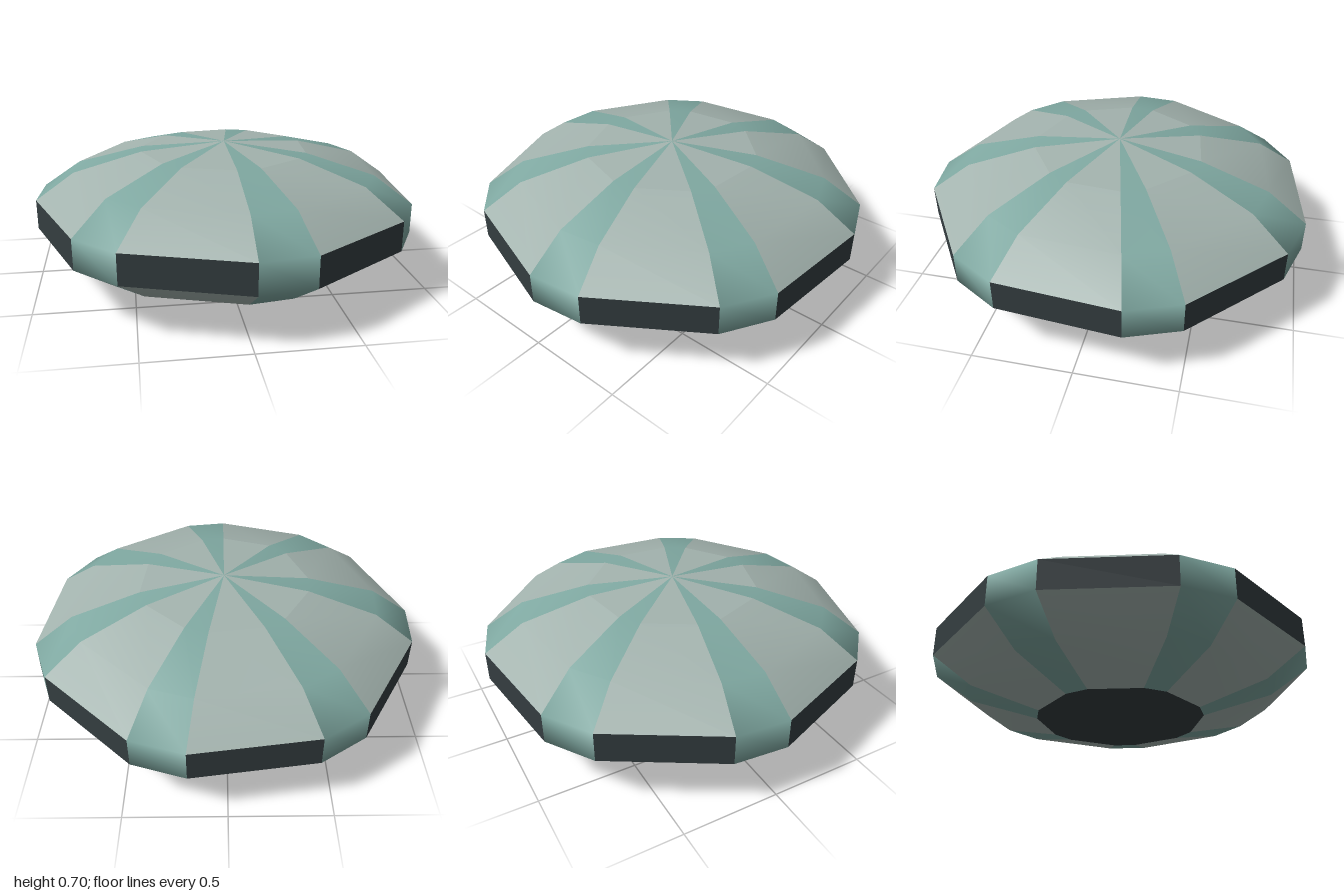
import * as THREE from 'three';

const SIDES = 7;
const STEP = (Math.PI * 2) / SIDES;
const STRIP = THREE.MathUtils.degToRad(15.8); // angular width of a narrow strip
const MID = 0.352;                            // height of the middle of the rim

// Half profile as [radius, height above the rim's middle], from the centre out
const UPPER = [[0, 0.352], [0.447, 0.315], [0.805, 0.219], [1.0075, 0.078]];
const LOWER = UPPER.map(([r, h]) => [r, -h]).reverse();

// One faceted slice of the disc between two angles, smooth along its profile
function slice(profile, from, to) {
  const positions = [];
  const index = [];
  for (const [r, h] of profile) {
    for (const a of [from, to]) positions.push(r * Math.sin(a), h, r * Math.cos(a));
  }
  for (let i = 0; i < profile.length - 1; i++) {
    const a = i * 2, b = a + 1, c = a + 2, d = a + 3;
    if (profile[i + 1][0] > 0) index.push(a, c, d);
    if (profile[i][0] > 0) index.push(a, d, b);
    if (profile[i + 1][0] === 0) continue;
  }
  const geometry = new THREE.BufferGeometry();
  geometry.setAttribute('position', new THREE.Float32BufferAttribute(positions, 3));
  geometry.setIndex(index);
  geometry.computeVertexNormals();
  return geometry;
}

export function createModel() {
  const panelMaterial = new THREE.MeshStandardMaterial({ color: 0xa3b3ae });
  const stripMaterial = new THREE.MeshStandardMaterial({ color: 0x7fa8a1 });
  const darkMaterial = new THREE.MeshStandardMaterial({ color: 0x343d40 });

  const model = new THREE.Group();
  model.name = 'segmentedDisc';

  const add = (parent, name, profile, from, to, material) => {
    const mesh = new THREE.Mesh(slice(profile, from, to), material);
    mesh.name = name;
    parent.add(mesh);
  };

  for (let i = 0; i < SIDES; i++) {
    const start = i * STEP;
    const edge = start + STRIP;
    const end = start + STEP;
    const segment = new THREE.Group();
    segment.name = `segment${i + 1}`;

    // Narrow strip running from the top centre over the rim to the base
    add(segment, 'strip', [...UPPER, ...LOWER.slice(0, 3)], start, edge, stripMaterial);

    // Wide panel: top cap, upper shell, dark rim window and lower shell
    add(segment, 'topCap', UPPER.slice(0, 2), edge, end, panelMaterial);
    add(segment, 'upperPanel', UPPER.slice(1), edge, end, panelMaterial);
    add(segment, 'rimWindow', [UPPER[3], LOWER[0]], edge, end, darkMaterial);
    add(segment, 'lowerPanel', LOWER.slice(0, 3), edge, end, panelMaterial);

    // Dark base under both the strip and the panel
    add(segment, 'baseStrip', LOWER.slice(2), start, edge, darkMaterial);
    add(segment, 'basePanel', LOWER.slice(2), edge, end, darkMaterial);
    model.add(segment);
  }

  // Seven sides are not symmetric, so shift the outline onto the origin
  for (const segment of model.children) segment.position.set(0.01, MID, -0.0075);
  return model;
}
